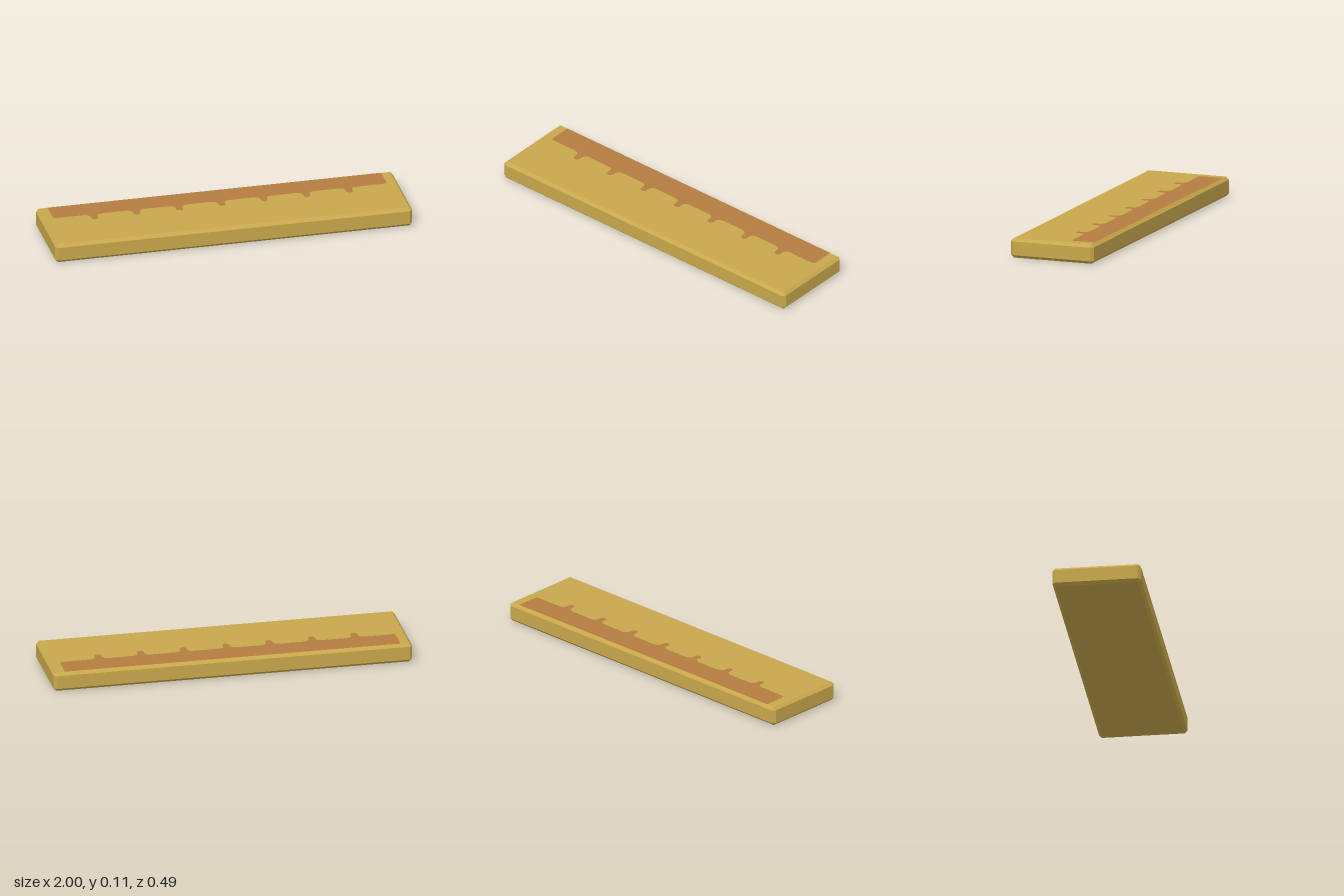
import * as THREE from 'three';
import { ConvexGeometry } from 'three/addons/geometries/ConvexGeometry.js';

const HALF_X = 1, HEIGHT = 0.108, HALF_Z = 0.243, BEVEL = 0.016;

// Box with every edge cut at 45 degrees, standing on y = 0
function bevelledBox(hx, hy, hz, b) {
  const points = [];
  for (const x of [-1, 1]) for (const y of [-1, 1]) for (const z of [-1, 1]) {
    points.push(
      new THREE.Vector3(x * hx, y * (hy - b), z * (hz - b)),
      new THREE.Vector3(x * (hx - b), y * hy, z * (hz - b)),
      new THREE.Vector3(x * (hx - b), y * (hy - b), z * hz),
    );
  }
  return new ConvexGeometry(points).translate(0, hy, 0);
}

// Flat glaze outline with evenly spaced drips; shape y runs towards the back
function glazeShape() {
  const side = 0.935, back = HALF_Z - BEVEL, front = 0.09, tip = 0.028, r = 0.02;
  const neck = 0.019, flare = 0.052;
  const s = new THREE.Shape();
  s.moveTo(-side, back);
  s.lineTo(-side, front + r);
  s.quadraticCurveTo(-side, front, -side + r, front);
  for (let i = -3; i <= 3; i++) {
    const x = i * 0.238;
    s.lineTo(x - flare, front);
    s.quadraticCurveTo(x - neck, front - 0.002, x - neck, front - 0.03);
    s.lineTo(x - neck, tip + 0.018);
    s.bezierCurveTo(x - neck, tip - 0.006, x + neck, tip - 0.006, x + neck, tip + 0.018);
    s.lineTo(x + neck, front - 0.03);
    s.quadraticCurveTo(x + neck, front - 0.002, x + flare, front);
  }
  s.lineTo(side - r, front);
  s.quadraticCurveTo(side, front, side, front + r);
  s.lineTo(side, back);
  s.closePath();
  return s;
}

export function createModel() {
  const ochre = new THREE.MeshStandardMaterial({ color: 0xc9a84c });
  ochre.name = 'ochre';
  const brown = new THREE.MeshStandardMaterial({ color: 0xb47d40 });
  brown.name = 'brown';

  const group = new THREE.Group();
  group.name = 'plank';

  // Bevelled slab
  const slab = new THREE.Mesh(bevelledBox(HALF_X, HEIGHT / 2, HALF_Z, BEVEL), ochre);
  slab.name = 'slab';

  // Dripping stain laid on the top face
  const stain = new THREE.Mesh(new THREE.ShapeGeometry(glazeShape(), 6).rotateX(-Math.PI / 2), brown);
  stain.name = 'drippingStain';
  stain.position.y = HEIGHT + 0.001;

  group.add(slab, stain);
  return group;
}
